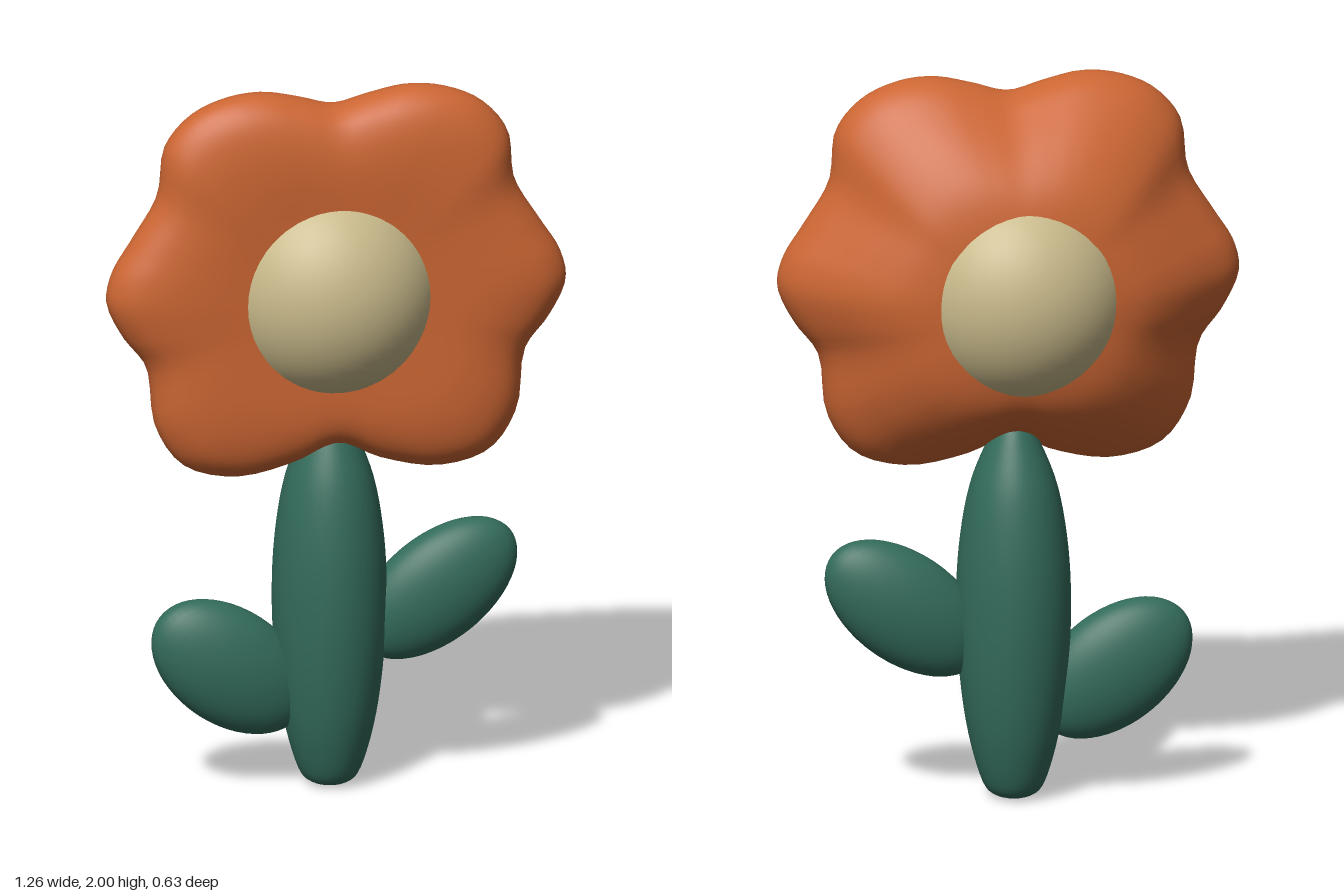
import * as THREE from 'three';

const mat = (color) => new THREE.MeshStandardMaterial({ color, roughness: 0.8, side: THREE.DoubleSide });
const v2 = (pts) => pts.map(([x, y]) => new THREE.Vector2(x, y));

// Six-petalled head: a dish profile swept round a lobed outline, rounder towards its centre
function petalGeometry() {
  const half = [[0, 0.525], [0.1, 0.55], [0.2, 0.57], [0.3, 0.56], [0.4, 0.515], [0.47, 0.43], [0.49, 0.29],
    [0.56, 0.17], [0.615, 0.08], [0.63, 0], [0.585, -0.1], [0.52, -0.19], [0.495, -0.36], [0.42, -0.47],
    [0.28, -0.51], [0.12, -0.48], [0, -0.43]];
  const loop = [...half, ...half.slice(1, -1).reverse().map(([x, y]) => [-x, y])].reverse();
  const outline = new THREE.CatmullRomCurve3(loop.map(([x, y]) => new THREE.Vector3(x, y, 0)), true)
    .getPoints(120).slice(0, -1);
  const profile = new THREE.SplineCurve(v2([[0, 0.185], [0.4, 0.19], [0.7, 0.195], [0.88, 0.178], [0.97, 0.14],
    [1, 0.09], [0.97, 0.03], [0.89, -0.03], [0.75, -0.11], [0.6, -0.17], [0.45, -0.2], [0.3, -0.21], [0, -0.21]]))
    .getPoints(60);
  const n = outline.length, pos = [], index = [];
  profile.forEach(({ x: s, y: z }, i) => {
    outline.forEach((p, j) => {
      const R = p.length();
      const r = s * THREE.MathUtils.lerp(0.56, R, s * s);
      const valley = THREE.MathUtils.clamp((0.63 - R) / 0.18, 0, 1);
      pos.push(p.x / R * r, p.y / R * r, z * (1 - 0.2 * valley * s ** 4));
      if (i === profile.length - 1) return;
      const a = i * n + j, b = i * n + (j + 1) % n;
      index.push(a, a + n, b + n, a, b + n, b);
    });
  });
  const g = new THREE.BufferGeometry();
  g.setAttribute('position', new THREE.Float32BufferAttribute(pos, 3));
  g.setIndex(index);
  g.computeVertexNormals();
  return g;
}

export function createModel() {
  const group = new THREE.Group();
  const green = mat(0x336b5b);
  const add = (name, geometry, material, x, y, z) => {
    const mesh = new THREE.Mesh(geometry, material);
    mesh.name = name;
    mesh.position.set(x, y, z);
    group.add(mesh);
    return mesh;
  };

  // Flower head and its round centre, showing on both sides
  add('petals', petalGeometry(), mat(0xcc6633), 0, 1.43, 0);
  add('flowerCentre', new THREE.SphereGeometry(0.315, 48, 32), mat(0xc8b98a), -0.01, 1.428, 0)
    .scale.set(1, 1.03, 1);

  // Plump stem with a blunt foot
  const stemCurve = new THREE.SplineCurve(v2([[0, 0.005], [0.05, 0.012], [0.085, 0.05], [0.122, 0.18], [0.145, 0.34],
    [0.155, 0.52], [0.148, 0.7], [0.12, 0.87], [0.07, 1.0], [0.035, 1.06], [0, 1.08]]));
  add('stem', new THREE.LatheGeometry(stemCurve.getPoints(50), 40), green, 0, 0, -0.008).scale.z = 1.1;

  // Egg-shaped leaves leaning outwards: side, centre, half length, half width
  for (const [name, x, y, length, width, angle] of [
    ['leftLeaf', 0.295, 0.54, 0.253, 0.149, 0.66],
    ['rightLeaf', -0.275, 0.35, 0.243, 0.158, -0.66],
  ]) {
    const leaf = add(name, new THREE.SphereGeometry(1, 40, 28), green, x, y, 0);
    leaf.scale.set(length, width, 0.09);
    leaf.rotation.z = angle;
  }
  return group;
}
